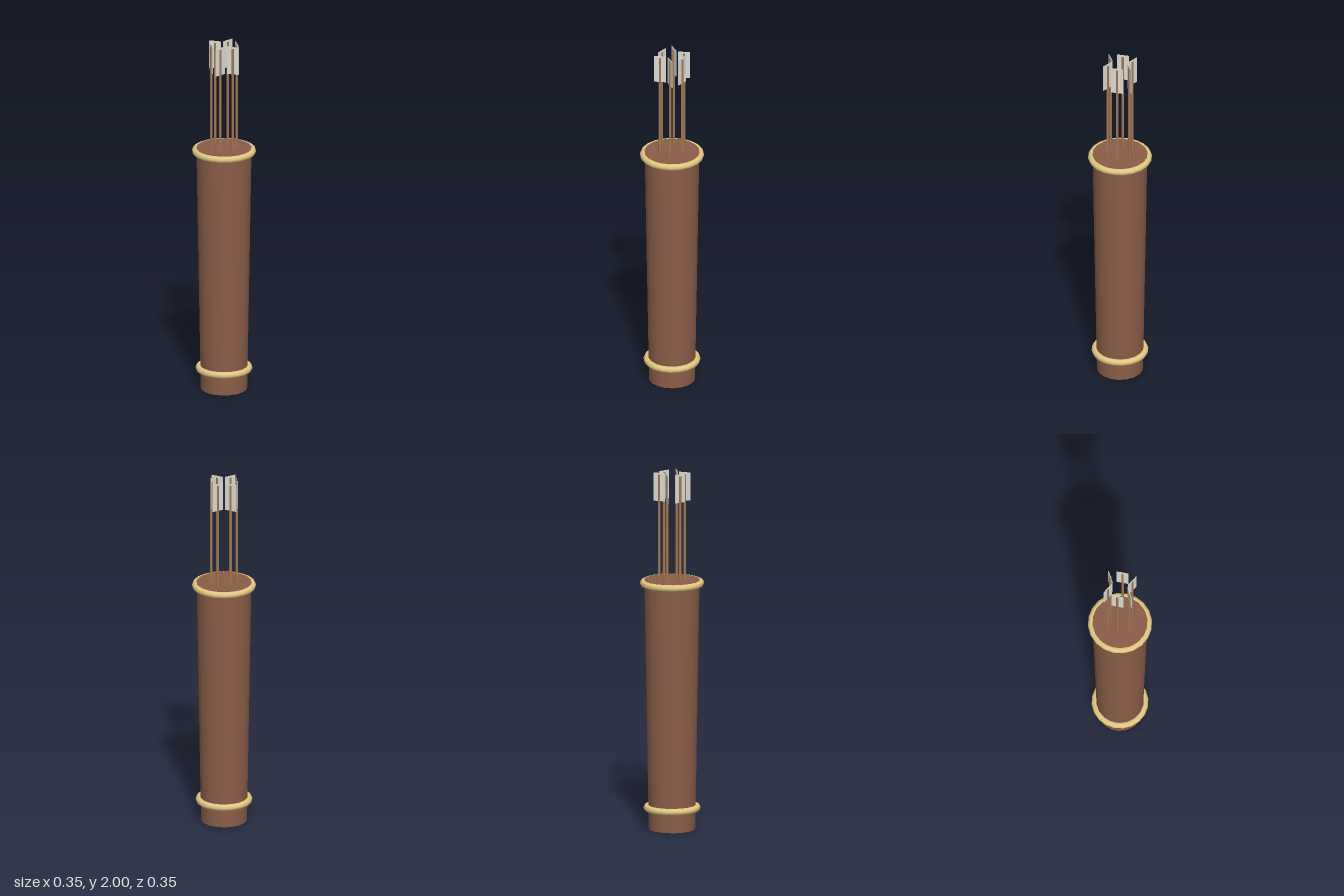
import * as THREE from 'three';

const paint = (color) => new THREE.MeshStandardMaterial({ color });

export function createModel() {
  const group = new THREE.Group();
  const leather = paint(0x8b5e48);
  const brass = paint(0xe3c983);
  const wood = paint(0xa87a55);
  const feather = paint(0xdedcd4);

  const add = (parent, name, geometry, material, x = 0, y = 0, z = 0) => {
    const mesh = new THREE.Mesh(geometry, material);
    mesh.name = name;
    mesh.position.set(x, y, z);
    parent.add(mesh);
    return mesh;
  };

  // Tapered closed tube of the quiver
  add(group, 'quiverBody', new THREE.CylinderGeometry(0.152, 0.128, 1.4, 18), leather, 0, 0.7);

  // Rounded bands around the mouth and the foot
  const bands = [['mouthBand', 0.158, 1.381], ['footBand', 0.138, 0.12]];
  for (const [name, radius, y] of bands) {
    add(group, name, new THREE.TorusGeometry(radius, 0.019, 8, 20), brass, 0, y).rotation.x = Math.PI / 2;
  }

  // Ring of six arrows, each with one flat vane at its end
  const shaftGeometry = new THREE.CylinderGeometry(0.0075, 0.0075, 0.79, 6);
  const vaneGeometry = new THREE.BoxGeometry(0.003, 0.158, 0.068);
  for (let i = 0; i < 6; i++) {
    const a = (i * Math.PI) / 3;
    const arrow = new THREE.Group();
    arrow.name = 'arrow';
    arrow.position.set(0.071 * Math.cos(a), 0, 0.071 * Math.sin(a));
    arrow.rotation.y = a;
    add(arrow, 'shaft', shaftGeometry, wood, 0, 1.595);
    add(arrow, 'vane', vaneGeometry, feather, 0, 1.921);
    group.add(arrow);
  }
  return group;
}
